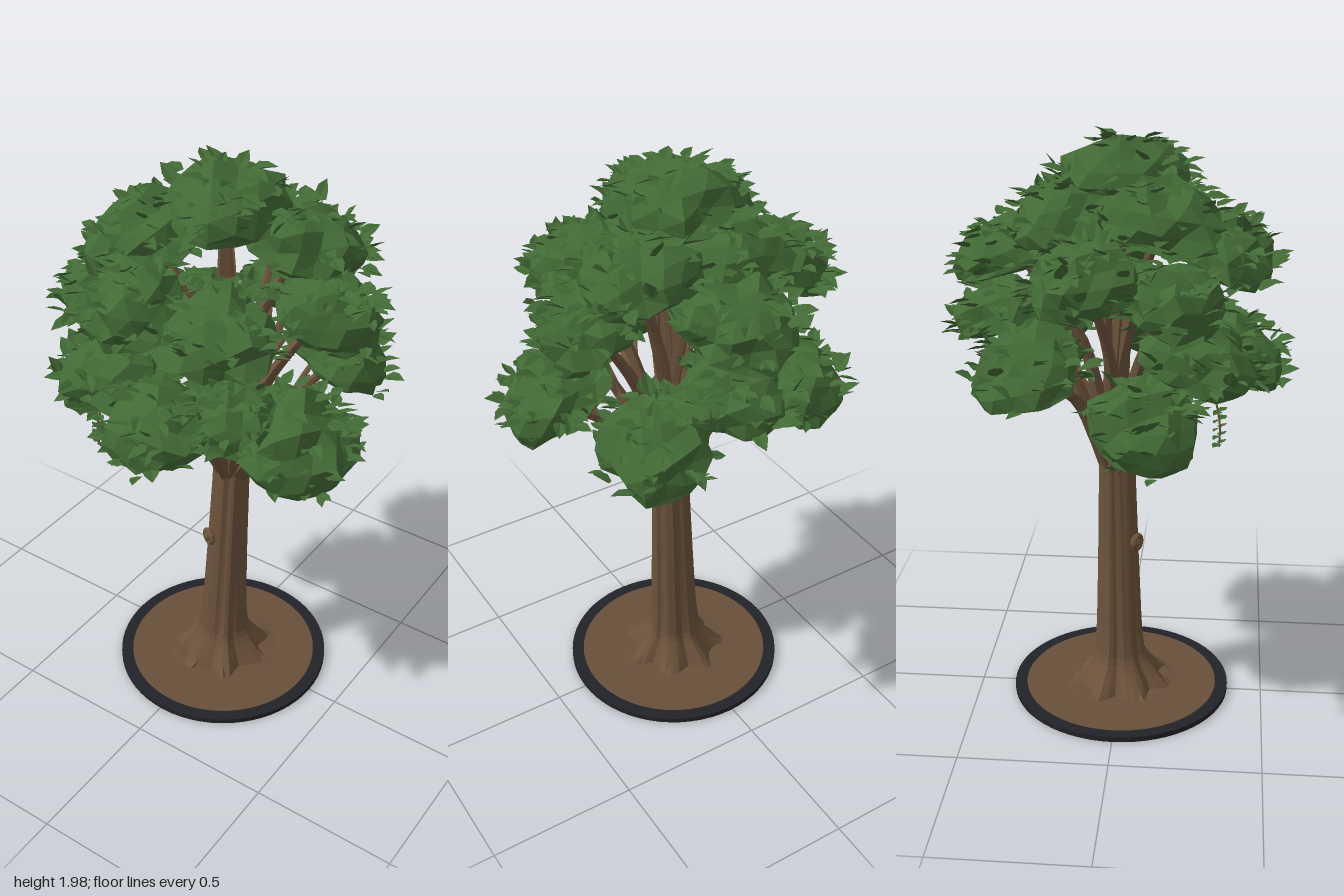
import * as THREE from 'three';
import { mergeVertices, mergeGeometries } from 'three/addons/utils/BufferGeometryUtils.js';

const V = (x, y, z) => new THREE.Vector3(x, y, z);
const UP = V(0, 1, 0);

// small seeded generator
let seed = 7;
const rnd = (a = 0, b = 1) => {
  seed = (seed * 16807) % 2147483647;
  return a + (b - a) * (seed / 2147483647);
};

// leaf clumps: centre x, y, z, radius, height of dome, outward lean
const CLUMPS = [
  // lower ring
  [-0.36, 1.13, 0.10, 0.18, 0.13, 0.75],
  [-0.22, 1.29, 0.26, 0.18, 0.14, 0.4],
  [0.03, 1.23, 0.36, 0.17, 0.16, 0.5],
  [0.37, 1.18, 0.13, 0.19, 0.16, 0.65],
  [0.22, 1.27, 0.24, 0.15, 0.12, 0.4],
  [0.26, 1.21, -0.30, 0.18, 0.14, 0.55],
  [-0.25, 1.25, -0.27, 0.19, 0.14, 0.4],
  [0.04, 1.36, -0.38, 0.17, 0.13, 0.3],
  // middle ring
  [0.18, 1.56, 0.27, 0.18, 0.13, 0.3],
  [0.35, 1.53, -0.06, 0.17, 0.15, 0.55],
  [-0.33, 1.56, -0.08, 0.17, 0.14, 0.5],
  [-0.31, 1.51, 0.17, 0.16, 0.12, 0.5],
  [-0.09, 1.60, 0.32, 0.17, 0.15, 0.5],
  [0.0, 1.58, -0.34, 0.19, 0.14, 0.4],
  // crown
  [-0.17, 1.72, 0.14, 0.19, 0.14, 0.3],
  [0.22, 1.70, -0.13, 0.19, 0.14, 0.3],
  [-0.08, 1.70, -0.17, 0.18, 0.13, 0.3],
  [0.02, 1.82, 0.0, 0.21, 0.14, 0.05],
];

// faceted dome with a shallow underside
function clumpGeometry(r, h, k) {
  let g = new THREE.IcosahedronGeometry(1, 2);
  g.deleteAttribute('normal');
  g.deleteAttribute('uv');
  g = mergeVertices(g, 1e-3);
  const p = g.attributes.position;
  for (let i = 0; i < p.count; i++) {
    const s = rnd(0.83, 1.1) + 0.07 * Math.sin(3 * Math.atan2(p.getZ(i), p.getX(i)) + k);
    const y = p.getY(i);
    p.setXYZ(i, p.getX(i) * r * s, y * h * s * (y < 0 ? 0.3 : 1), p.getZ(i) * r * s);
  }
  g.computeVertexNormals();
  return g;
}

// appends one folded, pointed leaf to a position list
function addLeaf(out, base, dir, len) {
  dir.normalize();
  const side = V().crossVectors(dir, UP).normalize();
  side.addScaledVector(UP, rnd(-0.5, 0.5)).normalize();
  const nrm = V().crossVectors(side, dir).normalize();
  const at = (u, w, f) => base.clone().addScaledVector(dir, u * len)
    .addScaledVector(side, w * len).addScaledVector(nrm, f * len);
  const tip = at(1, 0, -0.08);
  for (const s of [-1, 1]) {
    const a = at(0.22, s * 0.32, 0.05), b = at(0.58, s * 0.27, 0.05);
    const tris = s > 0 ? [base, a, b, base, b, tip] : [base, b, a, base, tip, b];
    tris.forEach(v => out.push(v.x, v.y, v.z));
  }
}

function leafMesh(list, material, name) {
  const g = new THREE.BufferGeometry();
  g.setAttribute('position', new THREE.Float32BufferAttribute(list, 3));
  g.computeVertexNormals();
  const m = new THREE.Mesh(g, material);
  m.name = name;
  return m;
}

// tapered, lightly ridged tube
function limb(points, r0, r1, sides = 8) {
  const curve = new THREE.CatmullRomCurve3(points);
  const n = 10, g = new THREE.TubeGeometry(curve, n, 1, sides);
  const p = g.attributes.position, v = V();
  for (let i = 0; i < p.count; i++) {
    const ring = Math.floor(i / (sides + 1)), j = i % (sides + 1);
    const c = curve.getPointAt(ring / n);
    const r = THREE.MathUtils.lerp(r0, r1, ring / n) * (j % 2 ? 0.85 : 1.08);
    v.fromBufferAttribute(p, i).sub(c).multiplyScalar(r).add(c);
    p.setXYZ(i, v.x, v.y, v.z);
  }
  return g;
}

// linear lookup in [y, value] pairs
function lookup(table, y) {
  let i = 1;
  while (i < table.length - 1 && y > table[i][0]) i++;
  const [a, b] = [table[i - 1], table[i]];
  return THREE.MathUtils.mapLinear(y, a[0], b[0], a[1], b[1]);
}

// fluted trunk with root flare
function trunkGeometry() {
  const radius = [[0.02, 0.165], [0.06, 0.135], [0.11, 0.1], [0.14, 0.086], [0.25, 0.077],
    [0.5, 0.069], [0.85, 0.06], [1.0, 0.064]];
  const g = new THREE.CylinderGeometry(1, 1, 1, 42, 28);
  const p = g.attributes.position;
  for (let i = 0; i < p.count; i++) {
    const t = p.getY(i) + 0.5, y = 0.02 + 0.96 * Math.pow(t, 1.6);
    const a = Math.atan2(p.getZ(i), p.getX(i));
    const flare = Math.exp(-y / 0.09);
    const ridge = 1 + (0.05 + 0.13 * flare) * Math.cos(7 * a + 1.2 * y) + 0.035 * Math.cos(12 * a + 2);
    const r = lookup(radius, y) * ridge;
    p.setXYZ(i, 0.008 + 0.034 * y + p.getX(i) * r, y, -0.02 * y + p.getZ(i) * r);
  }
  g.computeVertexNormals();
  return g;
}

export function createModel() {
  seed = 7;
  const mat = (name, color, opts = {}) => {
    const m = new THREE.MeshStandardMaterial({ color, ...opts });
    m.name = name;
    return m;
  };
  const leafGreen = mat('leafGreen', 0x426a35, { flatShading: true, side: THREE.DoubleSide });
  const bark = mat('bark', 0x6c533b, { flatShading: true });
  const soilBrown = mat('soilBrown', 0x67503b);
  const rimDark = mat('rimDark', 0x222229);

  const tree = new THREE.Group();
  tree.name = 'tree';
  const add = (geo, material, name, parent = tree) => {
    const m = new THREE.Mesh(geo, material);
    m.name = name;
    parent.add(m);
    return m;
  };

  // round base with soil on top
  add(new THREE.CylinderGeometry(0.38, 0.38, 0.018, 64), rimDark, 'baseRim').position.set(0.012, 0.017, 0);
  add(new THREE.CylinderGeometry(0.337, 0.34, 0.004, 64), soilBrown, 'soil').position.set(0.012, 0.026, 0);
  add(new THREE.CylinderGeometry(0.17, 0.21, 0.004, 32), soilBrown, 'soilMound').position.set(0.012, 0.029, 0);

  // trunk, roots and knot
  add(trunkGeometry(), bark, 'trunk');
  for (let i = 0; i < 7; i++) {
    const a = i * Math.PI * 2 / 7 + rnd(-0.1, 0.1), c = Math.cos(a), s = Math.sin(a);
    const q = (r, y) => V(0.012 + c * r, y, s * r);
    add(limb([q(0.05, 0.2), q(0.085, 0.1), q(0.13, 0.05), q(0.175, 0.022)], 0.025, 0.016, 7), bark, 'root');
  }
  const knot = add(new THREE.TorusGeometry(0.024, 0.01, 6, 10), bark, 'knotRing');
  knot.position.set(-0.01, 0.58, 0.056);
  knot.rotation.y = -0.45;
  const knotCore = add(new THREE.SphereGeometry(0.022, 8, 6), bark, 'knotCore');
  knotCore.position.set(-0.01, 0.58, 0.05);

  // central leader and branches reaching each clump
  const limbs = [limb([V(0.04, 0.88, -0.02), V(0.04, 1.15, -0.02), V(0.02, 1.45, 0), V(0.02, 1.82, 0)], 0.05, 0.018)];
  for (const [x, y, z] of CLUMPS) {
    const low = y < 1.4, top = y > 1.65;
    const y0 = low ? 0.84 : top ? 1.2 : 0.95;
    const start = V(0.038 + x * 0.06, y0, -0.018 + z * 0.06);
    const k = low ? 0.5 : 0.4, end = V(x * 0.95, y - 0.005, z * 0.95);
    const mid = V(0.035 + x * k, THREE.MathUtils.lerp(y0, y, low ? 0.68 : 0.55), z * k);
    limbs.push(limb([start, start.clone().lerp(mid, 0.45).add(V(0, 0.01, 0)), mid, end], low ? 0.034 : 0.026, 0.011));
    // side twigs under the lower ring
    if (low) for (const s of [-1, 1]) {
      const tip = V(x - s * z * 0.25, y + 0.01, z + s * x * 0.25);
      limbs.push(limb([mid, mid.clone().lerp(tip, 0.5).add(V(0, 0.015, 0)), tip], 0.014, 0.006, 6));
    }
  }
  add(mergeGeometries(limbs), bark, 'branches');

  // foliage: domes covered with loose leaves
  const canopy = new THREE.Group();
  canopy.name = 'canopy';
  tree.add(canopy);
  CLUMPS.forEach(([x, y, z, r, h, lean], k) => {
    const d = Math.hypot(x, z) || 1;
    const dome = add(clumpGeometry(r, h, k), leafGreen, 'leafClump', canopy);
    dome.position.set(x, y, z);
    dome.quaternion.setFromUnitVectors(UP, V(x / d * lean, 1, z / d * lean).normalize());
    const list = [];
    for (let i = 0; i < 58; i++) {
      const a = rnd(0, Math.PI * 2), e = Math.pow(rnd(), 1.3) * 1.45 - 0.04;
      const rel = V(Math.cos(a) * Math.cos(e) * r, Math.sin(e) * h, Math.sin(a) * Math.cos(e) * r)
        .multiplyScalar(rnd(0.9, 1)).applyQuaternion(dome.quaternion);
      const dir = V(rel.x, 0, rel.z).normalize()
        .add(V(rnd(-0.9, 0.9), rnd(-0.25, 0.8), rnd(-0.9, 0.9)));
      addLeaf(list, rel.add(dome.position), dir, rnd(0.05, 0.08));
    }
    canopy.add(leafMesh(list, leafGreen, 'leaves'));
  });

  // hanging sprig at the front
  const sprig = [];
  for (let i = 0; i < 5; i++)
    for (const s of [-1, 1])
      addLeaf(sprig, V(-0.25, 1.05 + i * 0.027, 0.33), V(s, 0.1, s * 0.5), 0.045);
  canopy.add(leafMesh(sprig, leafGreen, 'sprig'));
  add(limb([V(-0.25, 1.04, 0.33), V(-0.25, 1.12, 0.33), V(-0.23, 1.25, 0.3)], 0.003, 0.004, 5), bark, 'sprigStem');

  return tree;
}
